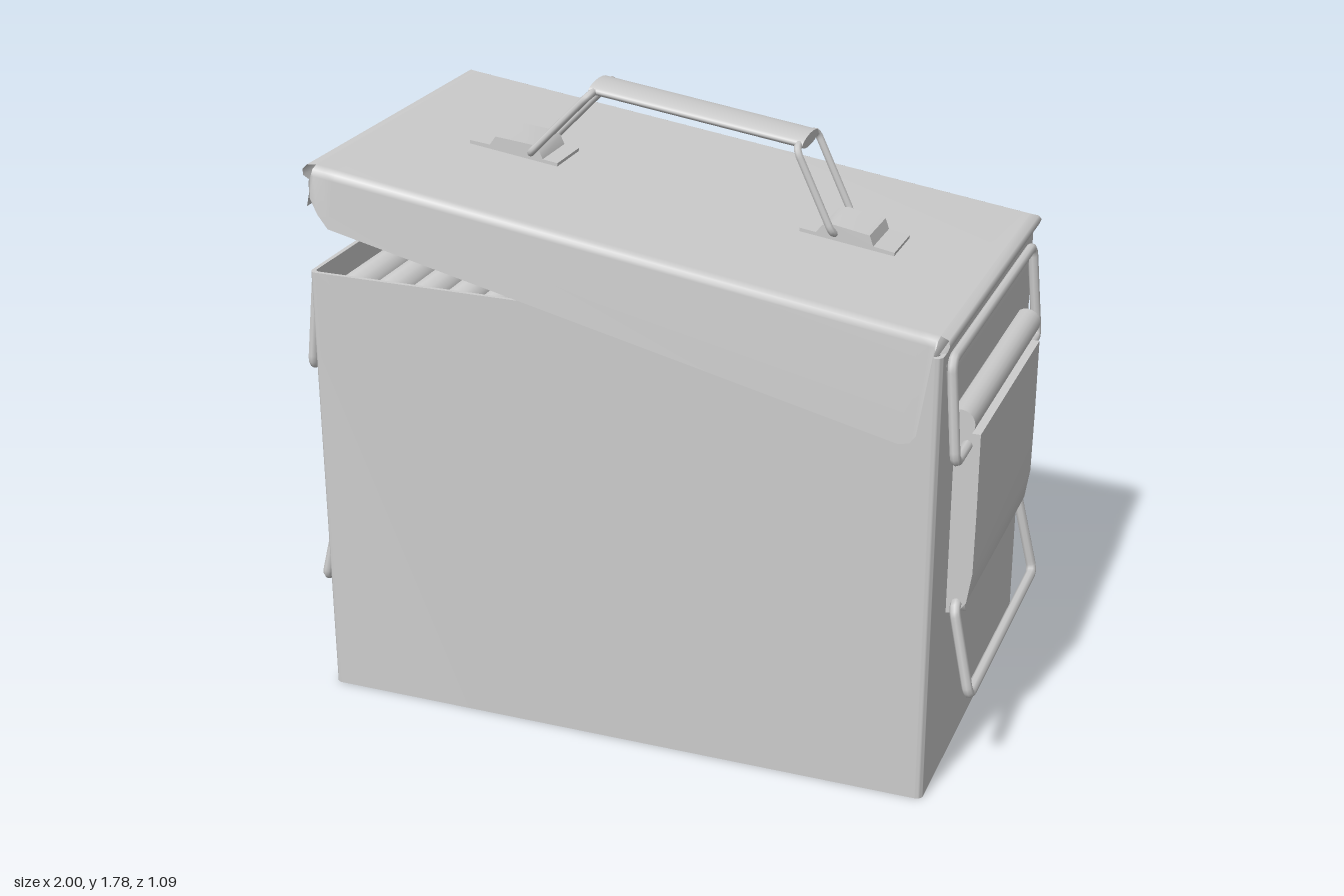
import * as THREE from 'three';
import { toCreasedNormals } from 'three/addons/utils/BufferGeometryUtils.js';

const steel = new THREE.MeshStandardMaterial({ color: 0xcccccc, side: THREE.DoubleSide });
steel.name = 'plain steel';

const V = (x, y, z) => new THREE.Vector3(x, y, z);

function add(parent, name, geometry) {
  const mesh = new THREE.Mesh(geometry, steel);
  mesh.name = name;
  parent.add(mesh);
  return mesh;
}

function group(parent, name) {
  const g = new THREE.Group();
  g.name = name;
  parent.add(g);
  return g;
}

// Smooth sheet through equal-length rows of points
function sheet(rows) {
  const n = rows[0].length, index = [];
  for (let i = 0; i < rows.length - 1; i++) {
    for (let j = 0; j < n - 1; j++) {
      const a = i * n + j, b = a + n;
      index.push(a, a + 1, b, b, a + 1, b + 1);
    }
  }
  const g = new THREE.BufferGeometry().setFromPoints(rows.flat());
  g.setIndex(index);
  g.computeVertexNormals();
  return g;
}

// Bent wire with rounded corners
function wire(points, radius, bend, closed = false) {
  const path = new THREE.CurvePath(), n = points.length;
  const toward = (a, b) => a.clone().add(b.clone().sub(a).setLength(bend));
  let from = closed ? toward(points[0], points[1]) : points[0];
  for (let i = 1; i < (closed ? n + 1 : n - 1); i++) {
    const p = points[i % n], next = points[(i + 1) % n];
    const a = toward(p, points[i - 1]), b = toward(p, next);
    path.add(new THREE.LineCurve3(from, a));
    path.add(new THREE.QuadraticBezierCurve3(a, p, b));
    from = b;
  }
  if (!closed) path.add(new THREE.LineCurve3(from, points[n - 1]));
  return new THREE.TubeGeometry(path, 110, radius, 8, closed);
}

function roundedRect(Type, w, d, r) {
  const s = new Type();
  for (const [x, y, a] of [[w, d, 0], [-w, d, 1], [-w, -d, 2], [w, -d, 3]]) {
    s.absarc(x - Math.sign(x) * r, y - Math.sign(y) * r, r, a * Math.PI / 2, (a + 1) * Math.PI / 2, false);
  }
  s.closePath();
  return s;
}

function prism(shape, depth) {
  return toCreasedNormals(new THREE.ExtrudeGeometry(shape, { depth, bevelEnabled: false, curveSegments: 5 }), 0.7);
}

const polygon = pts => new THREE.Shape(pts.map(p => new THREE.Vector2(...p)));

function buildBox(parent) {
  const walls = roundedRect(THREE.Shape, 0.9, 0.525, 0.02);
  walls.holes.push(roundedRect(THREE.Path, 0.888, 0.513, 0.015));
  add(parent, 'boxWalls', prism(walls, 1.3).rotateX(-Math.PI / 2));
  add(parent, 'boxFloor', prism(roundedRect(THREE.Shape, 0.899, 0.524, 0.02), 0.015).rotateX(-Math.PI / 2));
}

// Rows of cartridges lying across the box
function buildCartridges(parent) {
  const profile = [[0, -0.46], [0.045, -0.46], [0.05, -0.45], [0.05, 0.1], [0.03, 0.19],
    [0.028, 0.26], [0.022, 0.37], [0.01, 0.44], [0, 0.46]].map(p => new THREE.Vector2(...p));
  const geometry = toCreasedNormals(new THREE.LatheGeometry(profile, 12), 0.7).rotateX(-Math.PI / 2);
  for (let row = 0; row < 2; row++) {
    for (let i = 0; i < 16; i++) {
      add(parent, 'cartridge', geometry).position.set(-0.815 + i * 0.107 + row * 0.02, 1.22 - row * 0.1, 0);
    }
  }
}

// End latch, built for the +x end
function buildLatch(parent) {
  const profile = polygon([[0.9, 0.49], [0.93, 0.495], [0.955, 0.53], [0.968, 0.62], [0.97, 0.8], [0.97, 1.03], [0.9, 1.03]]);
  add(parent, 'latchPlate', prism(profile, 0.7).translate(0, 0, -0.35));
  const tab = polygon([[-0.19, 0.5], [-0.19, 0.43], [-0.17, 0.405], [0.17, 0.405], [0.19, 0.43], [0.19, 0.5]]);
  add(parent, 'latchTab', prism(tab, 0.016).rotateY(Math.PI / 2).translate(0.9, 0, 0));
  const bar = new THREE.CylinderGeometry(0.04, 0.04, 0.77, 20).rotateX(Math.PI / 2);
  add(parent, 'latchBar', bar).position.set(0.922, 1.07, 0);
  add(parent, 'upperBail', wire([
    V(0.935, 0.995, 0.34), V(0.935, 0.995, 0.475), V(0.91, 1.275, 0.462),
    V(0.91, 1.275, -0.462), V(0.935, 0.995, -0.475), V(0.935, 0.995, -0.34)], 0.015, 0.03));
  add(parent, 'lowerBail', wire([
    V(0.928, 0.525, 0.33), V(0.928, 0.525, 0.375), V(0.985, 0.27, 0.392),
    V(0.985, 0.27, -0.392), V(0.928, 0.525, -0.375), V(0.928, 0.525, -0.33)], 0.015, 0.03));
}

function buildLid(parent) {
  // Top with flanges that deepen toward the low end: [x, flange depth]
  const stations = [[-0.874, 0.039], [-0.866, 0.085], [-0.841, 0.125], [-0.806, 0.16],
    [0.852, 0.306], [0.88, 0.295], [0.893, 0.27], [0.898, 0.035]];
  add(parent, 'lidShell', sheet(stations.map(([x, d]) => {
    const half = [[0.545, -d], [0.534, -0.025], [0.527, -0.008], [0.505, 0]];
    return [...half.map(([z, y]) => V(x, y, z)), ...half.reverse().map(([z, y]) => V(x, y, -z))];
  })));

  // Rolled lips with hooked lower edge at both ends: [x, y, half width]
  const lip = [[0.895, 0, 0.505], [0.922, -0.003, 0.515], [0.93, -0.015, 0.525], [0.926, -0.032, 0.525],
    [0.905, -0.048, 0.515], [0.905, -0.065, 0.49], [0.925, -0.09, 0.485], [0.932, -0.14, 0.48]];
  for (const [side, shift] of [[1, 0], [-1, -0.025]]) {
    add(parent, 'lidLip', sheet(lip.map(([x, y, w]) =>
      [V(side * (x + shift), y, w), V(side * (x + shift), y, -w)])));
  }
}

// Folding carry handle, in lid coordinates
function buildHandle(parent) {
  const grip = new THREE.CylinderGeometry(1, 1, 0.63, 24).rotateZ(Math.PI / 2).scale(1, 0.02, 0.07);
  add(parent, 'handleGrip', grip).position.set(0.032, 0.238, 0);
  for (const [side, foot, top, centre] of [[-1, -0.43, -0.27, -0.481], [1, 0.478, 0.335, 0.515]]) {
    add(parent, 'handleLink', wire([
      V(foot, 0.018, 0.092), V(top, 0.236, 0.092),
      V(top, 0.236, -0.092), V(foot, 0.018, -0.092)], 0.011, 0.03, true));
    // Strap bracket folded over the link
    const strap = polygon([[-0.136, 0], [0.136, 0], [0.136, 0.01], [0.075, 0.012], [0.06, 0.04],
      [-0.05, 0.044], [-0.075, 0.034], [-0.09, 0.01], [-0.136, 0.01]]);
    const bracket = add(parent, 'handleBracket', prism(strap, 0.155).translate(0, 0, -0.0775));
    bracket.position.x = centre;
    bracket.rotation.y = side < 0 ? Math.PI : 0;
  }
}

export function createModel() {
  const model = new THREE.Group();
  model.name = 'metalStorageBox';
  buildBox(group(model, 'box'));
  buildCartridges(group(model, 'cartridges'));
  for (const turn of [0, Math.PI]) {
    const latch = group(model, 'endLatch');
    buildLatch(latch);
    latch.rotation.y = turn;
  }
  // Lid rests askew, lifted at the -x end
  const lid = group(model, 'lid');
  lid.position.y = 1.484;
  lid.rotation.z = -0.143;
  buildLid(lid);
  buildHandle(group(lid, 'handle'));
  return model;
}
